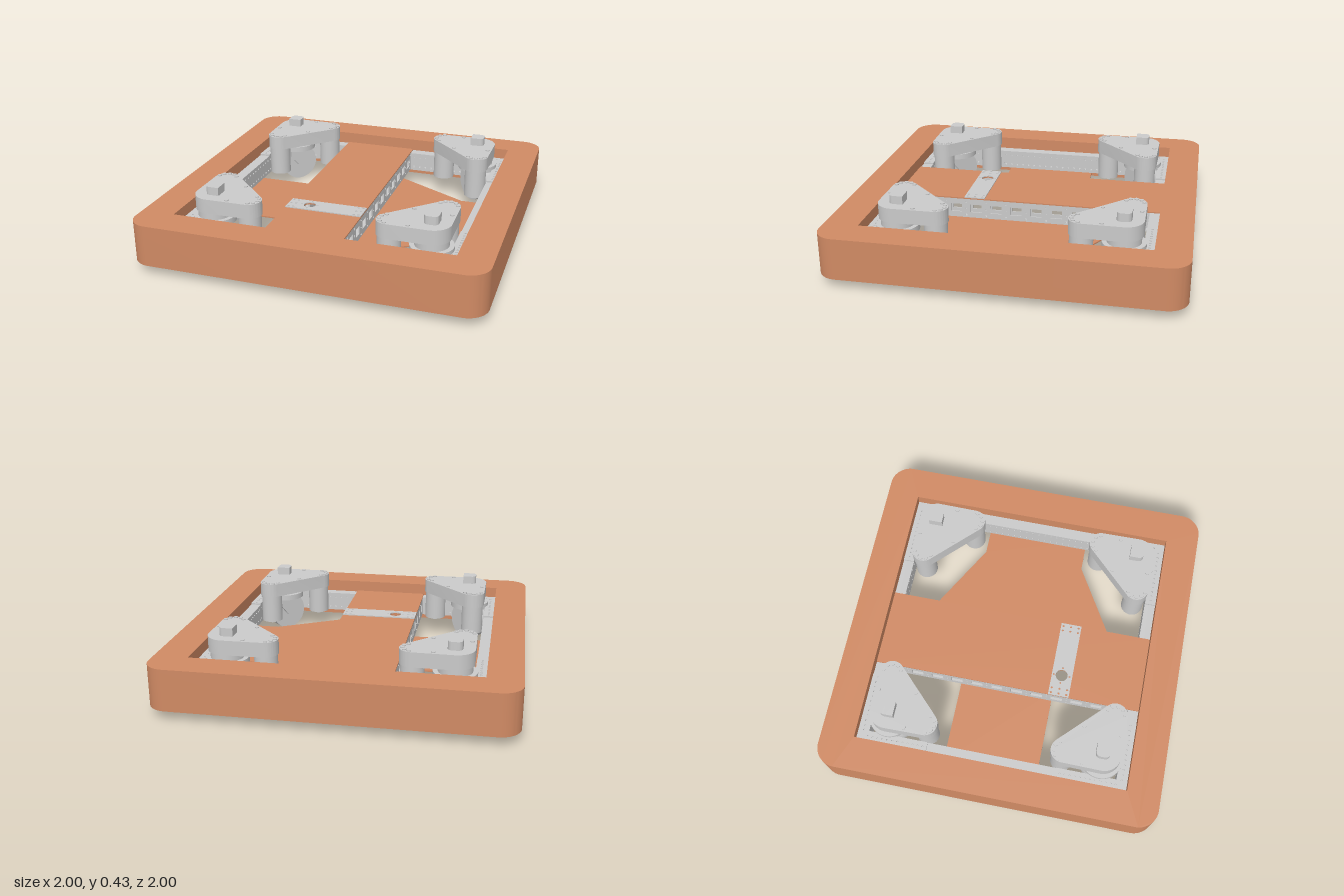
import * as THREE from 'three';
import { toCreasedNormals } from 'three/addons/utils/BufferGeometryUtils.js';

const paint = (name, color) => {
  const m = new THREE.MeshStandardMaterial({ color });
  m.name = name;
  return m;
};
const orange = paint('copper orange', 0xd08a64);
const grey = paint('aluminium grey', 0xcacaca);

function add(parent, name, geometry, material, x = 0, y = 0, z = 0) {
  const mesh = new THREE.Mesh(geometry, material);
  mesh.name = name;
  mesh.position.set(x, y, z);
  parent.add(mesh);
  return mesh;
}

// Outline wrapped around circles given as [x, y, radius]
function hull(circles, n = 64) {
  const pts = [];
  for (let i = 0; i < n; i++) {
    const t = ((i + 0.5) / n) * Math.PI * 2, c = Math.cos(t), s = Math.sin(t);
    const reach = (k) => k[0] * c + k[1] * s + k[2];
    const k = circles.reduce((a, b) => (reach(b) > reach(a) ? b : a));
    pts.push(new THREE.Vector2(k[0] + k[2] * c, k[1] + k[2] * s));
  }
  return new THREE.Shape(pts);
}

const polygon = (pts) => new THREE.Shape(pts.map(([x, y]) => new THREE.Vector2(x, y)));
const rect = (x0, y0, x1, y1) => polygon([[x0, y0], [x1, y0], [x1, y1], [x0, y1]]);
const rectHole = (x0, y0, x1, y1) => new THREE.Path(rect(x0, y0, x1, y1).getPoints());

function hole(shape, x, y, r, n = 8) {
  const pts = [];
  for (let i = 0; i < n; i++) {
    const t = (-i / n) * Math.PI * 2;
    pts.push(new THREE.Vector2(x + r * Math.cos(t), y + r * Math.sin(t)));
  }
  shape.holes.push(new THREE.Path(pts));
}

const extrude = (shape, depth) =>
  toCreasedNormals(new THREE.ExtrudeGeometry(shape, { depth, bevelEnabled: false }), 0.5);

// Horizontal slab: the shape's y becomes z, thickness goes down from the top
const slab = (parent, name, shape, top, h, material) =>
  add(parent, name, extrude(shape, h).rotateX(Math.PI / 2), material, 0, top, 0);

// Hollow perforated tube along x
const RAIL_LOW = 0.1, RAIL_H = 0.12, RAIL_W = 0.065, WALL = 0.008;
function rail(parent, name, length, slotted, x, z, turn) {
  const g = new THREE.Group();
  g.name = name;
  g.position.set(x, RAIL_LOW, z);
  g.rotation.y = turn;
  parent.add(g);
  const side = rect(-length / 2, 0, length / 2, RAIL_H);
  if (slotted) {
    const n = 12, step = length / n;
    for (let i = 0; i < n; i++) {
      const c = (i + 0.5) * step - length / 2;
      side.holes.push(rectHole(c - 0.035, 0.035, c + 0.035, 0.085));
      for (const y of [0.016, 0.06, 0.104]) hole(side, c + step / 2 - (i === n - 1 ? 0.015 : 0), y, 0.007, 6);
    }
  } else {
    const n = Math.floor(length / 0.04);
    for (let i = 0; i < n; i++)
      for (const y of [0.025, 0.095]) hole(side, (i - (n - 1) / 2) * 0.04, y, 0.007, 6);
  }
  const wall = extrude(side, WALL);
  add(g, 'railSide', wall, grey, 0, 0, RAIL_W / 2 - WALL);
  add(g, 'railSide', wall, grey, 0, 0, -RAIL_W / 2);
  const cover = new THREE.BoxGeometry(length, WALL, RAIL_W - 2 * WALL);
  add(g, 'railTop', cover, grey, 0, RAIL_H - WALL / 2, 0);
  add(g, 'railBottom', cover, grey, 0, WALL / 2, 0);
}

// Steerable wheel unit, built for the +x +z corner
function wheelModule() {
  const g = new THREE.Group();
  g.name = 'wheelModule';
  const P = 0.635, ends = [[0.405, 0.665], [0.665, 0.405]];

  // Perforated corner bracket on the rails
  const bracket = polygon([[0.385, 0.805], [0.385, 0.74], [0.74, 0.74], [0.74, 0.385], [0.805, 0.385], [0.805, 0.805]]);
  for (let i = 0; i < 12; i++) {
    const d = 0.41 + i * 0.03;
    hole(bracket, d, 0.772, 0.007, 6);
    hole(bracket, 0.772, d, 0.007, 6);
  }
  slab(g, 'cornerBracket', bracket, 0.23, 0.01, grey);
  add(g, 'collar', new THREE.CylinderGeometry(0.122, 0.122, 0.035, 40), grey, P, 0.235, P);
  add(g, 'column', new THREE.CylinderGeometry(0.095, 0.095, 0.06, 40), grey, P, 0.27, P);

  // Rounded triangular gear housing
  slab(g, 'gearHousing', hull([[P, P, 0.105], ...ends.map(([x, z]) => [x, z, 0.072])]), 0.38, 0.085, grey);

  // Motors hanging from both ends, with a ring of screws above
  for (const [x, z] of ends) {
    add(g, 'motor', new THREE.CylinderGeometry(0.066, 0.066, 0.18, 32), grey, x, 0.21, z);
    add(g, 'motorShaft', new THREE.CylinderGeometry(0.02, 0.02, 0.02, 16), grey, x, 0.112, z);
    const out = Math.atan2(z - P, x - P);
    for (const a of [-1.2, -0.6, 0, 0.6, 1.2])
      add(g, 'screw', new THREE.CylinderGeometry(0.012, 0.012, 0.008, 10), grey,
        x + 0.055 * Math.cos(out + a), 0.382, z + 0.055 * Math.sin(out + a));
  }
  for (const [x, z] of [[0.5, 0.5], [0.52, 0.715], [0.715, 0.52]])
    add(g, 'screw', new THREE.CylinderGeometry(0.012, 0.012, 0.008, 10), grey, x, 0.382, z);

  // Encoder cap with one rounded end
  const cap = new THREE.Shape();
  cap.moveTo(0.59, 0.59).lineTo(0.672, 0.59).lineTo(0.672, 0.64);
  cap.quadraticCurveTo(0.672, 0.672, 0.64, 0.672).lineTo(0.62, 0.672);
  cap.quadraticCurveTo(0.59, 0.672, 0.59, 0.64);
  slab(g, 'encoderCap', cap, 0.428, 0.048, grey);

  // Wheel and fork, facing outward along the diagonal
  const drive = new THREE.Group();
  drive.name = 'wheelAndFork';
  drive.position.set(P, 0, P);
  drive.rotation.y = Math.PI / 4;
  g.add(drive);
  add(drive, 'wheel', new THREE.CylinderGeometry(0.12, 0.12, 0.095, 48).rotateX(Math.PI / 2), grey, 0, 0.12, 0);
  const arm = extrude(polygon([[-0.015, 0.1], [0.015, 0.1], [0.07, 0.17], [0.07, 0.235], [-0.07, 0.235], [-0.07, 0.17]]), 0.018);
  add(drive, 'forkArm', arm, grey, 0, 0, 0.0475);
  add(drive, 'forkArm', arm, grey, 0, 0, -0.0655);
  return g;
}

export function createModel() {
  const model = new THREE.Group();
  model.name = 'driveBase';

  // Bumper ring
  const R = 0.88;
  const ring = hull([[R, R, 0.12], [-R, R, 0.12], [-R, -R, 0.12], [R, -R, 0.12]]);
  ring.holes.push(rectHole(-0.805, -0.805, 0.805, 0.805));
  slab(model, 'bumper', ring, 0.295, 0.24, orange);

  // Outer frame and the two centre rails
  for (const s of [-1, 1]) {
    rail(model, 'endRail', 1.61, false, 0, s * 0.7725, 0);
    rail(model, 'sideRail', 1.48, false, s * 0.7725, 0, Math.PI / 2);
  }
  for (const x of [-0.2775, 0.1225]) rail(model, 'centreRail', 1.48, true, x, 0, Math.PI / 2);

  // Centre deck and cross plate, sharing one round opening
  const deck = rect(-0.31, -0.805, 0.155, 0.805);
  hole(deck, -0.18, 0.315, 0.036, 32);
  slab(model, 'centreDeck', deck, 0.227, 0.007, orange);
  const plate = rect(-0.31, 0.255, 0.155, 0.38);
  hole(plate, -0.18, 0.315, 0.036, 32);
  for (let i = 0; i < 4; i++) {
    const a = (i * Math.PI) / 2;
    hole(plate, -0.18 + 0.048 * Math.cos(a), 0.315 + 0.048 * Math.sin(a), 0.006);
  }
  for (const z of [0.27, 0.317, 0.364])
    for (const x of [-0.295, -0.265, 0.108, 0.138]) hole(plate, x, z, 0.007);
  slab(model, 'crossPlate', plate, 0.233, 0.006, grey);

  // Low belly pans on both sides
  slab(model, 'taperedPan', polygon([[0.09, -0.57], [0.155, -0.57], [0.6, -0.32], [0.8, -0.32],
    [0.8, 0.31], [0.6, 0.31], [0.155, 0.57], [0.09, 0.57]]), 0.1, 0.008, orange);
  slab(model, 'straightPan', rect(-0.8, -0.285, -0.245, 0.28), 0.1, 0.008, orange);

  // One wheel unit per corner
  for (let i = 0; i < 4; i++) {
    const unit = wheelModule();
    unit.rotation.y = (i * Math.PI) / 2;
    model.add(unit);
  }
  return model;
}
